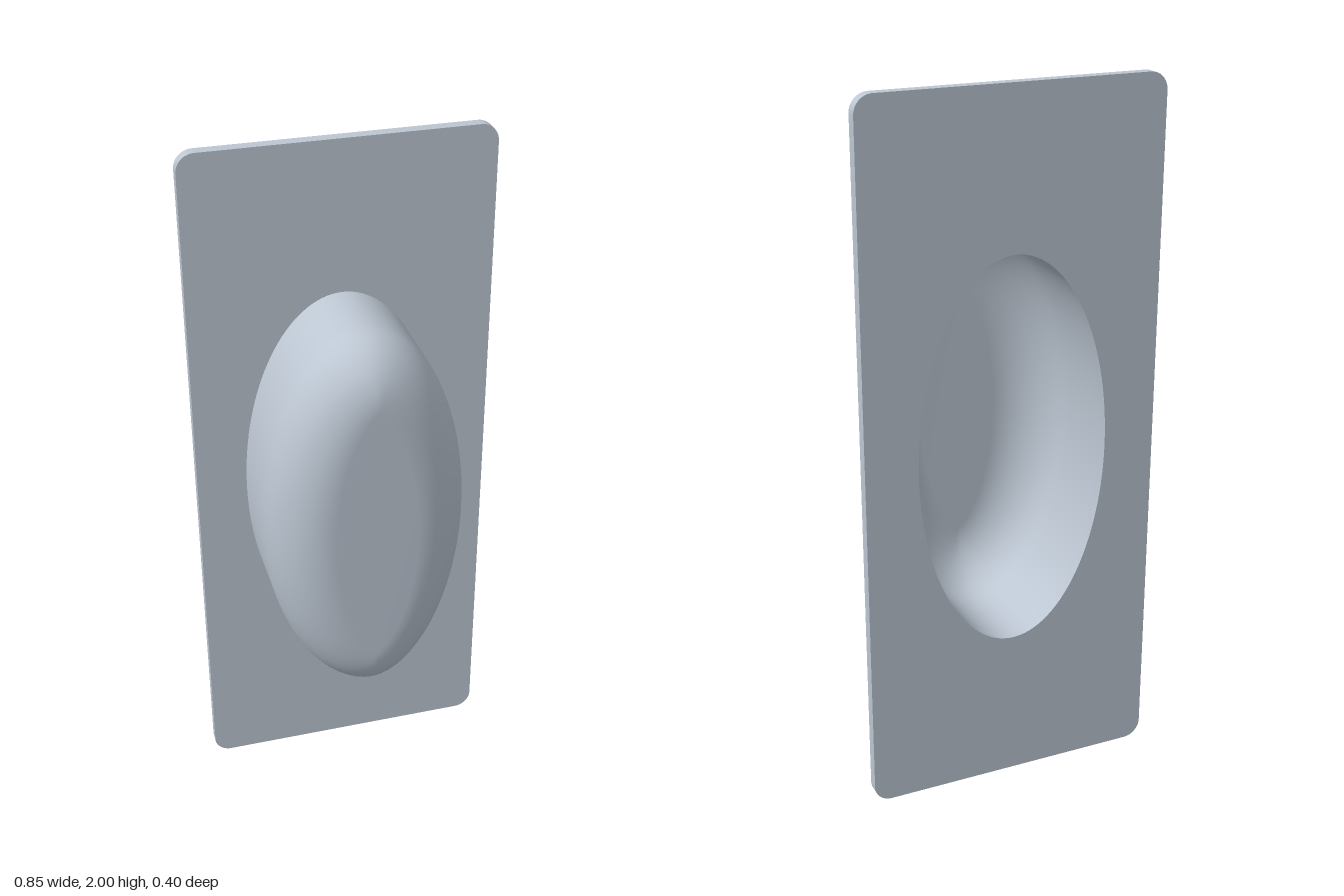
import * as THREE from 'three';
import { toCreasedNormals } from 'three/addons/utils/BufferGeometryUtils.js';

const W = 0.427, H = 1, CORNER = 0.05;         // plate half sizes
const RX = 0.285, RY = 0.57, FILLET = 0.17;    // cup ellipse and rounded rim
const BACK = -0.2, FRONT = 0.2, PLATE = 0.033, WALL = 0.008;
const SEG = 128;

// Ellipse moved inwards by d, stopped where the two sides meet at the tips
function ring(d) {
  const points = [];
  for (let i = 0; i < SEG; i++) {
    const t = (i / SEG) * Math.PI * 2, c = Math.cos(t), s = Math.sin(t);
    const n = Math.hypot(RY * c, RX * s);
    const kx = Math.max(0, RX - (d * RY) / n);
    const y = s * (RY - (d * RX) / n);
    const limit = RY - d - 0.004 * (d / FILLET);
    points.push(new THREE.Vector2(c * kx, kx === 0 ? THREE.MathUtils.clamp(y, -limit, limit) : y));
  }
  return points;
}

// Straight wall, rounded rim and flat end, drawn as rings from the plate forward
function cupSkin(inset, inward) {
  const r = FILLET - inset, zc = FRONT - FILLET;
  const rings = [[inset, BACK + PLATE], [inset, -0.07]];
  for (let i = 0; i <= 16; i++) {
    const a = (i / 16) * Math.PI / 2;
    rings.push([FILLET - r * Math.cos(a), zc + r * Math.sin(a)]);
  }
  const pos = [], index = [];
  for (const [d, z] of rings) for (const p of ring(d)) pos.push(p.x, p.y, z);
  const face = (a, b, c) => (inward ? index.push(a, c, b) : index.push(a, b, c));
  for (let j = 0; j < rings.length - 1; j++) {
    for (let i = 0; i < SEG; i++) {
      const a = j * SEG + i, b = j * SEG + ((i + 1) % SEG);
      face(a, b, b + SEG);
      face(a, b + SEG, a + SEG);
    }
  }
  const last = (rings.length - 1) * SEG, centre = pos.length / 3;
  pos.push(0, 0, zc + r);
  for (let i = 0; i < SEG; i++) face(last + i, last + ((i + 1) % SEG), centre);
  const g = new THREE.BufferGeometry();
  g.setAttribute('position', new THREE.Float32BufferAttribute(pos, 3));
  g.setIndex(index);
  g.computeVertexNormals();
  return g;
}

// Rounded plate with the elliptical opening
function plateGeometry() {
  const s = new THREE.Shape(), q = Math.PI / 2, x = W - CORNER, y = H - CORNER;
  s.absarc(x, y, CORNER, 0, q);
  s.absarc(-x, y, CORNER, q, 2 * q);
  s.absarc(-x, -y, CORNER, 2 * q, 3 * q);
  s.absarc(x, -y, CORNER, 3 * q, 4 * q);
  s.closePath();
  s.holes.push(new THREE.Path(ring(WALL)));
  const g = new THREE.ExtrudeGeometry(s, { depth: PLATE, bevelEnabled: false, curveSegments: 12 });
  g.translate(0, 0, BACK);
  return toCreasedNormals(g, 0.6);
}

export function createModel() {
  const model = new THREE.Group();
  model.name = 'recessedPull';
  const steel = new THREE.MeshStandardMaterial({ color: 0xbcc6d2 });
  steel.name = 'steel';
  const add = (name, geometry) => {
    const mesh = new THREE.Mesh(geometry, steel);
    mesh.name = name;
    mesh.position.y = H;
    model.add(mesh);
  };
  add('plate', plateGeometry());
  add('cupOutside', cupSkin(0, false));
  add('cupInside', cupSkin(WALL, true));
  return model;
}
